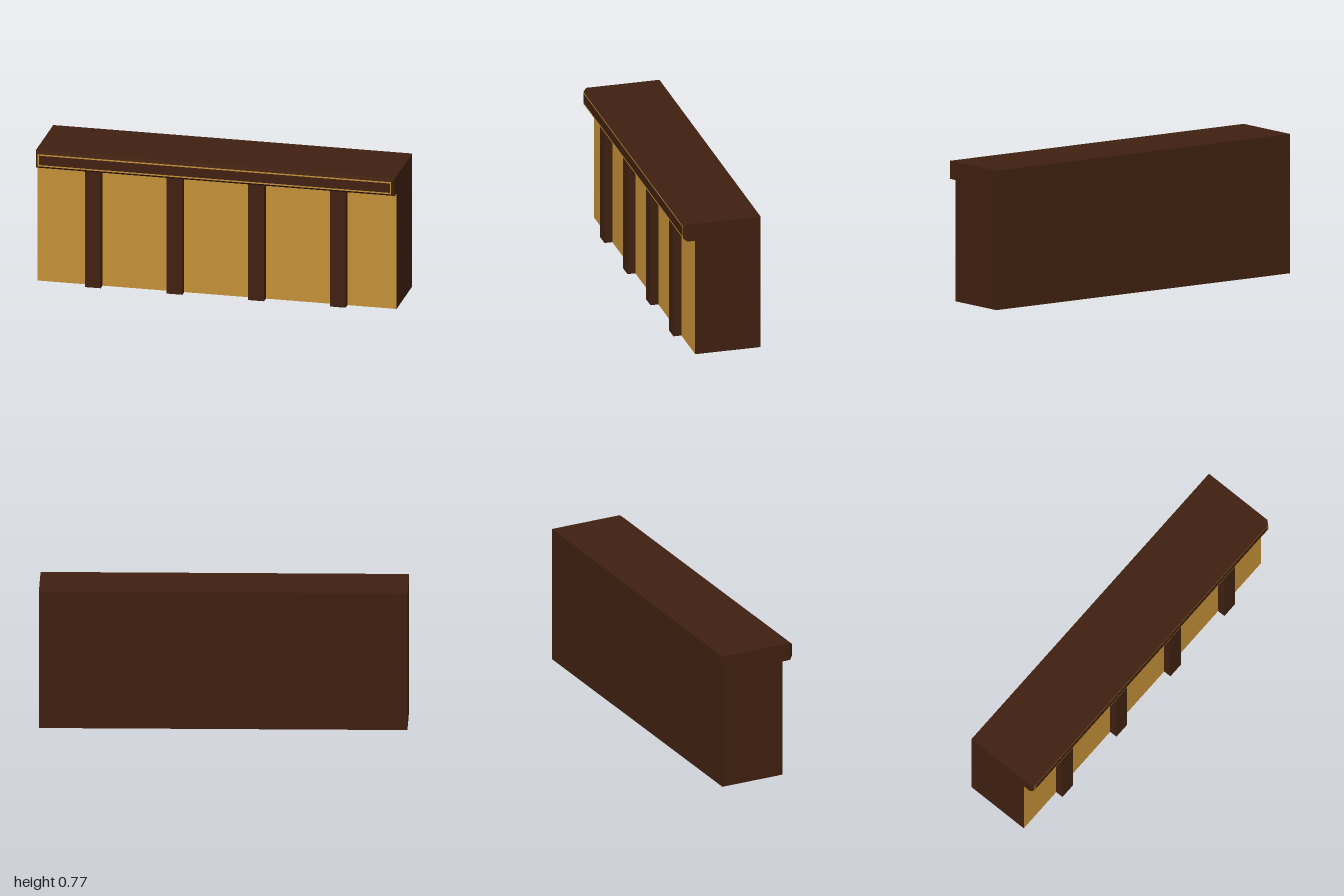
import * as THREE from 'three';

const BACK = -0.2165, BODY_FRONT = 0.152, TOP_FRONT = 0.197, FRONT = 0.2165;
const SLAB_Y = 0.667, TOP_Y = 0.767, INSET = 0.015;

export function createModel() {
  const group = new THREE.Group();
  const wood = new THREE.MeshStandardMaterial({ color: 0x3f2010 });
  const gold = new THREE.MeshStandardMaterial({ color: 0xc49037 });

  const add = (name, geometry, material, x = 0, y = 0, z = 0) => {
    const mesh = new THREE.Mesh(geometry, material);
    mesh.name = name;
    mesh.position.set(x, y, z);
    group.add(mesh);
  };

  // Counter body and overhanging top: one side profile (z, y) run along x
  const profile = new THREE.Shape([
    [BACK, 0], [BODY_FRONT, 0], [BODY_FRONT, SLAB_Y],
    [TOP_FRONT, SLAB_Y], [TOP_FRONT, TOP_Y], [BACK, TOP_Y],
  ].map(([z, y]) => new THREE.Vector2(-z, y)));
  const body = new THREE.ExtrudeGeometry(profile, { depth: 2, bevelEnabled: false });
  body.translate(0, 0, -1).rotateY(Math.PI / 2);
  add('counterBody', body, wood);

  // Gold front panel
  add('frontPanel', new THREE.PlaneGeometry(2, SLAB_Y), gold, 0, SLAB_Y / 2, BODY_FRONT + 0.0008);

  // Four upright posts
  const postDepth = TOP_FRONT - BODY_FRONT;
  for (let i = 0; i < 4; i++) {
    add('post' + (i + 1), new THREE.BoxGeometry(0.088, SLAB_Y, postDepth), wood,
      (i - 1.5) * 0.455, SLAB_Y / 2, BODY_FRONT + postDepth / 2);
  }

  // Bevelled fascia: a box whose front corners are drawn inward
  const h = TOP_Y - SLAB_Y, midY = (TOP_Y + SLAB_Y) / 2;
  const fascia = new THREE.BoxGeometry(2, h, FRONT - TOP_FRONT);
  const p = fascia.attributes.position;
  for (let i = 0; i < p.count; i++) {
    if (p.getZ(i) > 0) {
      p.setX(i, p.getX(i) - Math.sign(p.getX(i)) * INSET);
      p.setY(i, p.getY(i) - Math.sign(p.getY(i)) * INSET);
    }
  }
  fascia.computeVertexNormals();
  add('fascia', fascia, wood, 0, midY, (TOP_FRONT + FRONT) / 2);

  // Thin gold border around the fascia's face
  const rect = (C, w, t) => new C([[-w, -t], [w, -t], [w, t], [-w, t]]
    .map(([x, y]) => new THREE.Vector2(x, y)));
  const a = 1 - INSET, b = h / 2 - INSET, line = 0.008;
  const border = rect(THREE.Shape, a, b);
  border.holes.push(rect(THREE.Path, a - line, b - line));
  add('fasciaBorder', new THREE.ShapeGeometry(border), gold, 0, midY, FRONT + 0.0006);

  return group;
}
